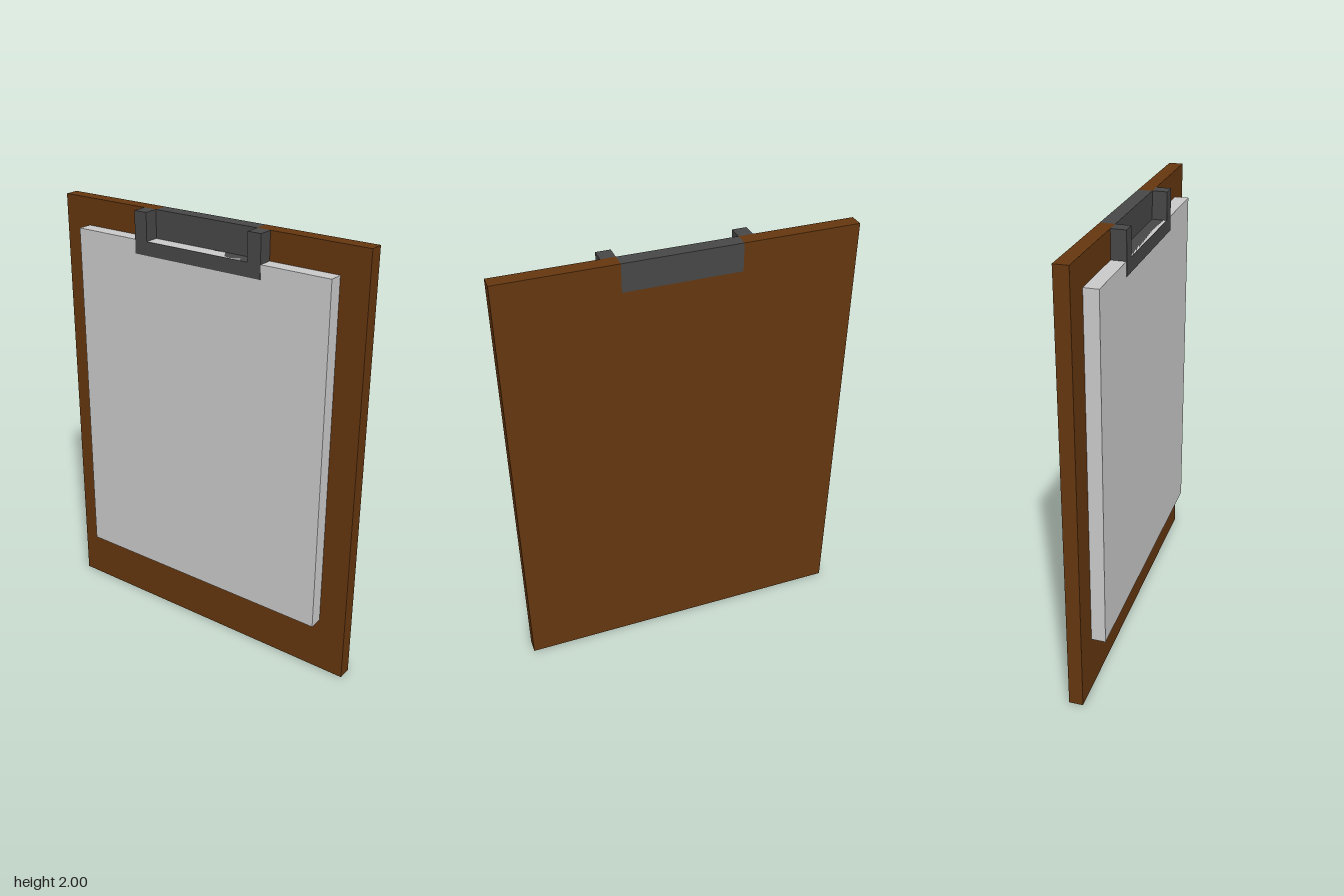
import * as THREE from 'three';

const DEPTH = 0.064; // thickness shared by board, paper and clip

export function createModel() {
  const group = new THREE.Group();
  const material = (name, color) => {
    const m = new THREE.MeshStandardMaterial({ color });
    m.name = name;
    return m;
  };
  const wood = material('brown wood', 0x64360f);
  const paperGrey = material('paper grey', 0xcacaca);
  const metal = material('dark metal', 0x474747);

  // Extrudes an outline along z, starting at zStart
  const plate = (name, points, zStart, depth, mat) => {
    const shape = new THREE.Shape(points.map(([x, y]) => new THREE.Vector2(x, y)));
    const geometry = new THREE.ExtrudeGeometry(shape, { depth, bevelEnabled: false });
    geometry.translate(0, 0, zStart);
    const mesh = new THREE.Mesh(geometry, mat);
    mesh.name = name;
    group.add(mesh);
  };
  const rect = (w, y0, y1) => [[-w, y0], [w, y0], [w, y1], [-w, y1]];
  // Rectangle with a notch cut from the middle of its top edge
  const notched = (w, y0, y1, nw, ny) => [
    [-w, y0], [w, y0], [w, y1], [nw, y1], [nw, ny], [-nw, ny], [-nw, y1], [-w, y1],
  ];

  const notchX = 0.258, notchY = 1.875;

  // Backing board, notched where the clip plate passes through
  plate('board', notched(0.774, 0, 2, notchX, notchY), -DEPTH, DEPTH, wood);
  // Stack of paper
  plate('paper', rect(0.645, 0.263, notchY), 0, DEPTH, paperGrey);
  // Clip plate set into the board
  plate('clipPlate', rect(notchX, notchY, 2), -DEPTH, DEPTH, metal);
  // U-shaped clip frame gripping the top of the paper, just proud of it
  plate('clipFrame', notched(0.322, 1.813, 2, notchX, notchY), 0, DEPTH + 0.002, metal);

  return group;
}
